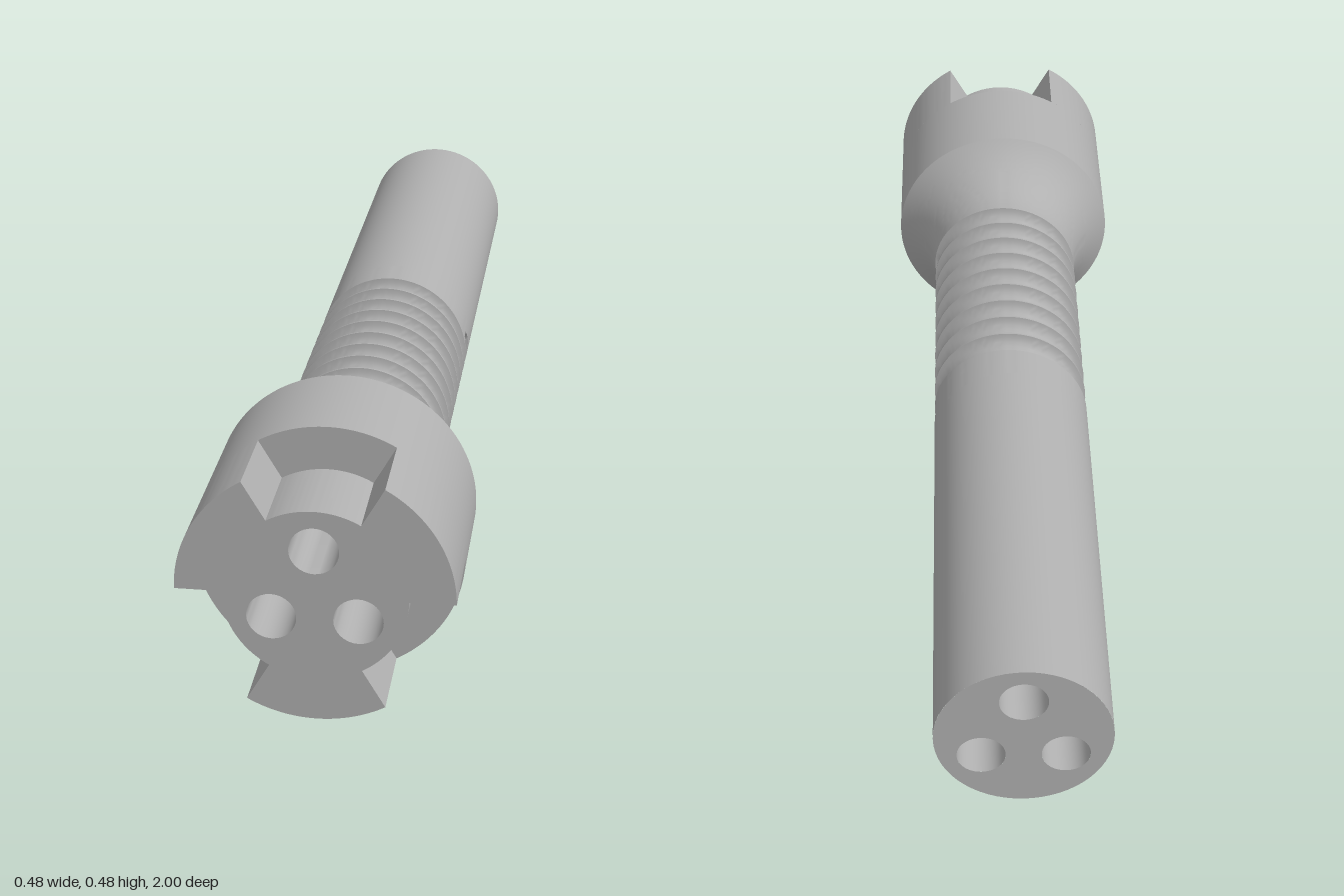
import * as THREE from 'three';
import { toCreasedNormals } from 'three/addons/utils/BufferGeometryUtils.js';

const AXIS_Y = 0.24;
const HEAD_R = 0.24, SHAFT_R = 0.158, CORE_R = 0.16;
const BORE_R = 0.043, BORE_DIST = 0.086;
const Z_BACK = -1, Z_THREAD = -0.16, Z_FLARE = 0.45, Z_HEAD = 0.62, Z_NOTCH = 0.84, Z_FRONT = 1;
const PITCH = 0.06, TURNS = 9, GROOVE_START = 0.44, GROOVE_R = 0.028;
const TAU = Math.PI * 2;

const boreCentres = [90, 210, 330].map((deg) => {
  const a = THREE.MathUtils.degToRad(deg);
  return new THREE.Vector2(BORE_DIST * Math.cos(a), BORE_DIST * Math.sin(a));
});

function addBoreHoles(shape) {
  for (const c of boreCentres) {
    shape.holes.push(new THREE.Path().absarc(c.x, c.y, BORE_R, 0, TAU, true));
  }
  return shape;
}

// Open tube along z; inward = true makes it face its own axis
function tube(r, z0, z1, segments, inward = false) {
  const pts = [new THREE.Vector2(r, z0), new THREE.Vector2(r, z1)];
  if (inward) pts.reverse();
  return new THREE.LatheGeometry(pts, segments).rotateX(Math.PI / 2);
}

// Shaft radius, with a concave fillet that widens into the head
function baseRadius(z) {
  if (z <= Z_FLARE) return SHAFT_R;
  const length = Z_HEAD - Z_FLARE, rise = HEAD_R - SHAFT_R;
  const R = (length * length + rise * rise) / (2 * rise);
  return SHAFT_R + R - Math.sqrt(R * R - (z - Z_FLARE) ** 2);
}

// Depth of the ball-ended helical groove at angle theta on turn k, offset along z
function grooveDepth(theta, k, offset) {
  const total = theta + TAU * k;
  const excess = total < 0 ? total : Math.max(0, total - TAU * TURNS);
  const dz = offset - (excess * PITCH) / TAU;
  const d2 = dz * dz + (excess * SHAFT_R) ** 2;
  return Math.sqrt(Math.max(0, GROOVE_R * GROOVE_R - d2));
}

// Grid whose rows follow the helix, clipped flat at both ends
function threadGeometry() {
  const cols = 120, cuts = 10;
  const rows = [];
  for (let k = TURNS + 4; k >= -6; k--) {
    for (let i = 0; i <= cuts; i++) {
      rows.push({ k, offset: -GROOVE_R * Math.cos((i / cuts) * Math.PI) });
    }
  }
  const positions = [], index = [], rawZ = [];
  for (const { k, offset } of rows) {
    for (let j = 0; j <= cols; j++) {
      const theta = (j / cols) * TAU;
      const raw = GROOVE_START - PITCH * (k + j / cols) + offset;
      const z = THREE.MathUtils.clamp(raw, Z_THREAD, Z_HEAD);
      const r = baseRadius(z) - grooveDepth(theta, k, offset);
      positions.push(r * Math.cos(theta), r * Math.sin(theta), z);
      rawZ.push(raw);
    }
  }
  const addTriangle = (...t) => {
    const outside = t.every((v) => rawZ[v] <= Z_THREAD) || t.every((v) => rawZ[v] >= Z_HEAD);
    if (!outside) index.push(...t);
  };
  for (let i = 0; i < rows.length - 1; i++) {
    for (let j = 0; j < cols; j++) {
      const a = i * (cols + 1) + j, b = a + cols + 1;
      addTriangle(a, a + 1, b + 1);
      addTriangle(a, b + 1, b);
    }
  }
  const g = new THREE.BufferGeometry();
  g.setAttribute('position', new THREE.Float32BufferAttribute(positions, 3));
  g.setIndex(index);
  return toCreasedNormals(g, Math.PI / 5);
}

// Front of the head: solid core with three outer teeth
function castellationGeometry() {
  const shape = new THREE.Shape();
  const step = Math.PI / 3;
  for (let i = 0; i < 3; i++) {
    const a = i * 2 * step;
    shape.absarc(0, 0, HEAD_R, a, a + step, false);
    shape.absarc(0, 0, CORE_R, a + step, a + 2 * step, false);
  }
  addBoreHoles(shape);
  const g = new THREE.ExtrudeGeometry(shape, {
    depth: Z_FRONT - Z_NOTCH, bevelEnabled: false, curveSegments: 16,
  });
  g.translate(0, 0, Z_NOTCH);
  return toCreasedNormals(g, Math.PI / 6);
}

export function createModel() {
  const model = new THREE.Group();
  model.name = 'threadedCoupling';
  const steel = new THREE.MeshStandardMaterial({ color: 0xb0b0b0 });
  steel.name = 'grey steel';

  const add = (name, geometry) => {
    const mesh = new THREE.Mesh(geometry, steel);
    mesh.name = name;
    mesh.position.y = AXIS_Y;
    model.add(mesh);
    return mesh;
  };

  // Shaft and its back face
  add('shaft', tube(SHAFT_R, Z_BACK, Z_THREAD, 120));
  const endShape = addBoreHoles(new THREE.Shape().absarc(0, 0, SHAFT_R, 0, TAU, false));
  const endFace = add('shaftEndFace', new THREE.ShapeGeometry(endShape, 30).rotateY(Math.PI));
  endFace.position.z = Z_BACK;

  // Grooved length and flare
  add('threadAndFlare', threadGeometry());

  // Head
  add('headBarrel', tube(HEAD_R, Z_HEAD, Z_NOTCH, 120));
  add('headTeeth', castellationGeometry());
  for (let i = 0; i < 3; i++) {
    const start = Math.PI / 3 + (i * TAU) / 3;
    const floor = add('notchFloor', new THREE.RingGeometry(CORE_R, HEAD_R, 32, 1, start, Math.PI / 3));
    floor.position.z = Z_NOTCH;
  }

  // Three bores running the full length
  for (const c of boreCentres) {
    const bore = add('bore', tube(BORE_R, Z_BACK, Z_NOTCH, 48, true));
    bore.position.x = c.x;
    bore.position.y += c.y;
  }
  // The bore openings mirror exactly in the turned end face
  return model;
}
